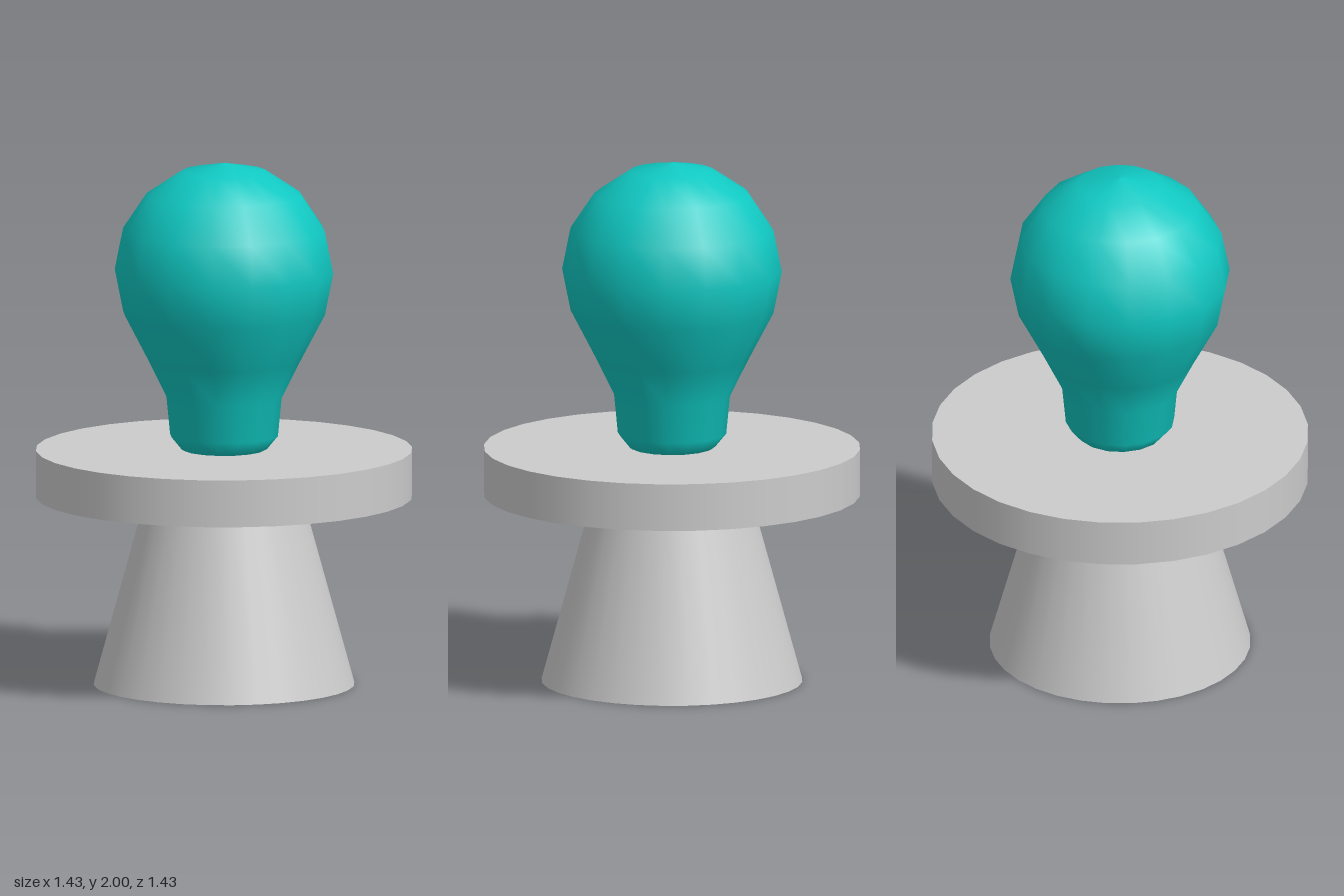
import * as THREE from 'three';

const grey = new THREE.MeshStandardMaterial({ color: 0xcccccc, side: THREE.DoubleSide });
const teal = new THREE.MeshStandardMaterial({ color: 0x10c8c2 });

// Revolved surface from [radius, height] pairs, listed from the bottom up
function turned(name, profile, sides, material) {
  const points = profile.map(([r, y]) => new THREE.Vector2(r, y));
  const mesh = new THREE.Mesh(new THREE.LatheGeometry(points, sides), material);
  mesh.name = name;
  return mesh;
}

export function createModel() {
  const model = new THREE.Group();
  model.name = 'pushButton';

  // Pedestal: flared foot, open underneath
  const foot = turned('foot', [[0.495, 0], [0.315, 0.655]], 32, grey);

  // Round plate: separate surfaces keep its edges sharp
  const plate = new THREE.Group();
  plate.name = 'plate';
  plate.add(
    turned('plateUnderside', [[0.315, 0.655], [0.714, 0.72]], 32, grey),
    turned('plateRim', [[0.714, 0.72], [0.714, 0.9]], 32, grey),
    turned('plateTop', [[0.714, 0.9], [0, 0.9]], 32, grey),
  );

  // Bulb: narrow neck blending into a round head
  const R = 0.417;
  const profile = [[0, 0.88], [0.13, 0.885], [0.165, 0.905], [0.206, 0.955], [0.22, 1.1], [0.29, 1.242]];
  for (let i = 5; i >= 0; i--) {
    const a = (i * Math.PI) / 8;
    profile.push([i === 0 ? 0 : R * Math.sin(a), 2 - R + R * Math.cos(a)]);
  }
  const bulb = turned('bulb', profile, 16, teal);

  model.add(foot, plate, bulb);
  return model;
}
